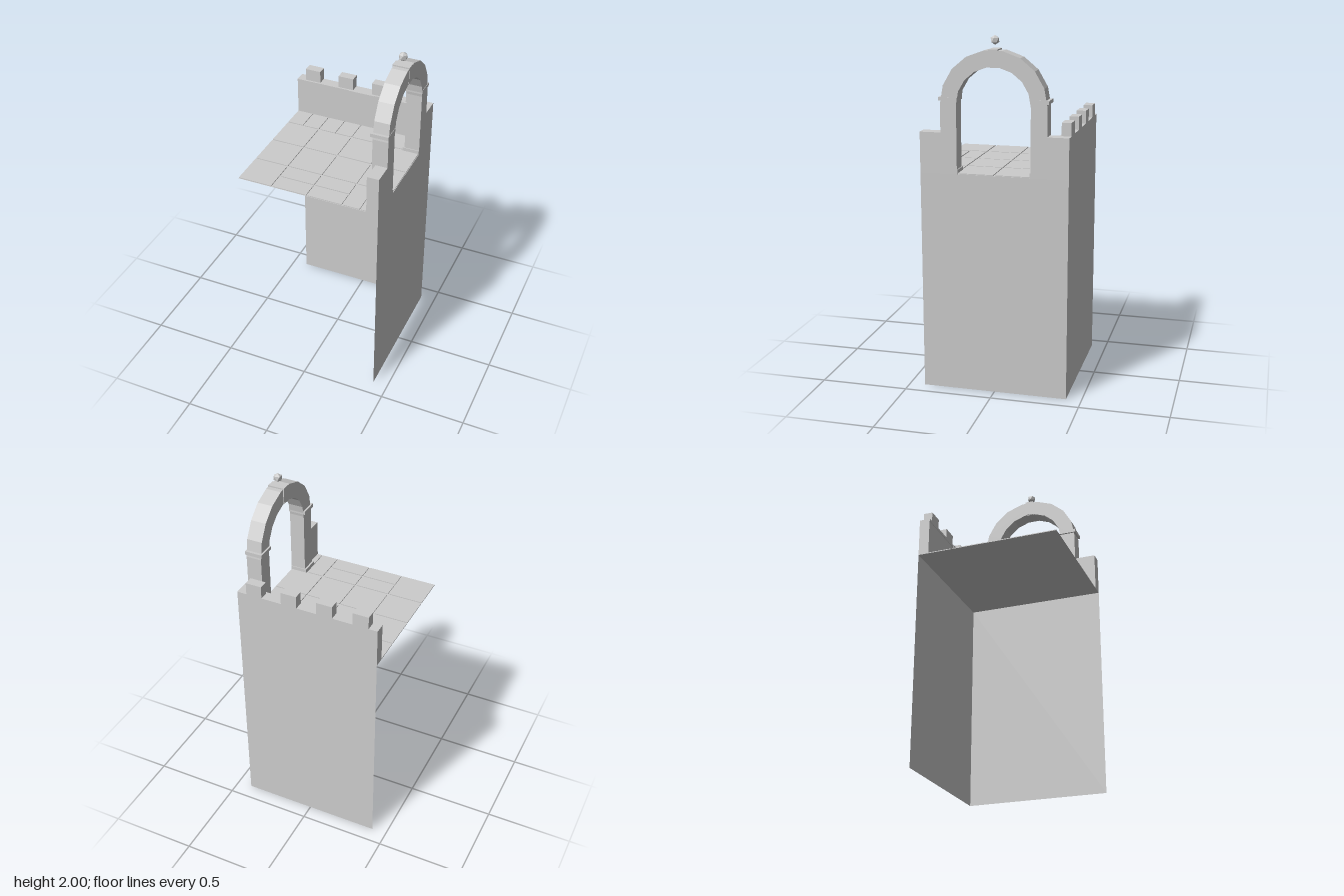
import * as THREE from 'three';

export function createModel() {
  const model = new THREE.Group();
  const stone = new THREE.MeshStandardMaterial({ color: 0xcccccc, side: THREE.DoubleSide });
  stone.name = 'stoneGrey';

  const add = (name, geometry, parent = model) => {
    const mesh = new THREE.Mesh(geometry, stone);
    mesh.name = name;
    parent.add(mesh);
    return mesh;
  };
  // Box given by its extents on each axis
  const box = (name, x0, x1, y0, y1, z0, z1, parent) =>
    add(name, new THREE.BoxGeometry(x1 - x0, y1 - y0, z1 - z0), parent)
      .position.set((x0 + x1) / 2, (y0 + y1) / 2, (z0 + z1) / 2);

  const E = 0.413, FLOOR = 1.25, TOP = 1.475;

  // Thin outer walls below the terrace
  const sideWall = add('sideWall', new THREE.PlaneGeometry(2 * E, FLOOR));
  sideWall.rotation.y = Math.PI / 2;
  sideWall.position.set(E, FLOOR / 2, 0);
  const backWall = add('backWall', new THREE.PlaneGeometry(2 * E, FLOOR));
  backWall.rotation.y = Math.PI;
  backWall.position.set(0, FLOOR / 2, -E);

  // Terrace floor with raised paving slabs: [x0, x1, z0, z1]
  const floor = add('floor', new THREE.PlaneGeometry(2 * E, 2 * E));
  floor.rotation.x = -Math.PI / 2;
  floor.position.y = FLOOR;
  const paving = new THREE.Group();
  paving.name = 'paving';
  model.add(paving);
  const columns = [[-0.413, -0.216], [-0.205, -0.006], [0.003, 0.202], [0.212, 0.41]];
  const rows = [[-0.203, -0.007], [0.003, 0.201]];
  const slabs = rows.flatMap(r => columns.map(c => [...c, ...r]));
  slabs.push(
    [-0.413, -0.319, -0.35, -0.214], [-0.31, -0.216, -0.35, -0.214],
    [-0.205, -0.111, -0.35, -0.214], [-0.101, -0.006, -0.35, -0.214],
    [0.003, 0.202, -0.35, -0.214], [0.212, 0.345, -0.35, -0.214],
    [-0.413, -0.216, 0.212, 0.41], [0.212, 0.306, 0.212, 0.41], [0.315, 0.345, 0.212, 0.41],
  );
  for (const c of columns.slice(1, 3)) slabs.push([...c, 0.212, 0.306], [...c, 0.316, 0.41]);
  for (const [x0, x1, z0, z1] of slabs) box('slab', x0, x1, FLOOR, FLOOR + 0.005, z0, z1, paving);

  // Back parapet with cap, centre trim and merlons
  box('backParapet', -E, E, FLOOR, TOP, -E, -0.352);
  box('parapetCap', -E, 0.345, 1.46, TOP, -0.352, -0.349);
  box('capTrim', -0.08, 0.075, 1.453, TOP, -0.349, -0.345);
  for (let i = 0; i < 4; i++) {
    const x = -0.316 + i * 0.209;
    box('merlon', x - 0.046, x + 0.046, TOP, 1.547, -E, -0.36);
  }

  // Archway: two legs and a nine-sided half ring, extruded through the wall
  const CY = 1.63, R = 0.295, r = 0.205;
  const outline = [[R, FLOOR]];
  for (let i = 0; i <= 9; i++) {
    const a = (i * Math.PI) / 9;
    outline.push([R * Math.cos(a), CY + R * Math.sin(a)]);
  }
  outline.push([-R, FLOOR], [-r, FLOOR]);
  for (let i = 9; i >= 0; i--) {
    const a = (i * Math.PI) / 9;
    outline.push([r * Math.cos(a), CY + r * Math.sin(a)]);
  }
  outline.push([r, FLOOR]);
  const shape = new THREE.Shape(outline.map(p => new THREE.Vector2(...p)));
  const arch = add('arch', new THREE.ExtrudeGeometry(shape, { depth: E - 0.325, bevelEnabled: false }));
  arch.rotation.y = Math.PI / 2;
  arch.position.x = 0.325;

  // Parapet stubs, pillar bases and capitals on both sides of the arch
  for (const s of [-1, 1]) {
    const span = (name, x0, x1, y0, y1, a, b) =>
      box(name, x0, x1, y0, y1, Math.min(s * a, s * b), Math.max(s * a, s * b));
    span('sideParapet', 0.345, E, FLOOR, TOP, R, s < 0 ? 0.352 : E);
    span('pillarBase', 0.315, E, FLOOR, 1.275, 0.2, 0.302);
    span('capital', 0.315, 0.415, 1.648, 1.668, 0.2, 0.304);
  }

  // Keystone and finial
  box('keystone', 0.32, 0.415, 1.835, 1.928, -0.025, 0.025);
  const finial = add('finial', new THREE.IcosahedronGeometry(0.026, 0));
  finial.rotation.z = -0.5536;
  finial.position.set(0.368, 1.974, 0);

  return model;
}
